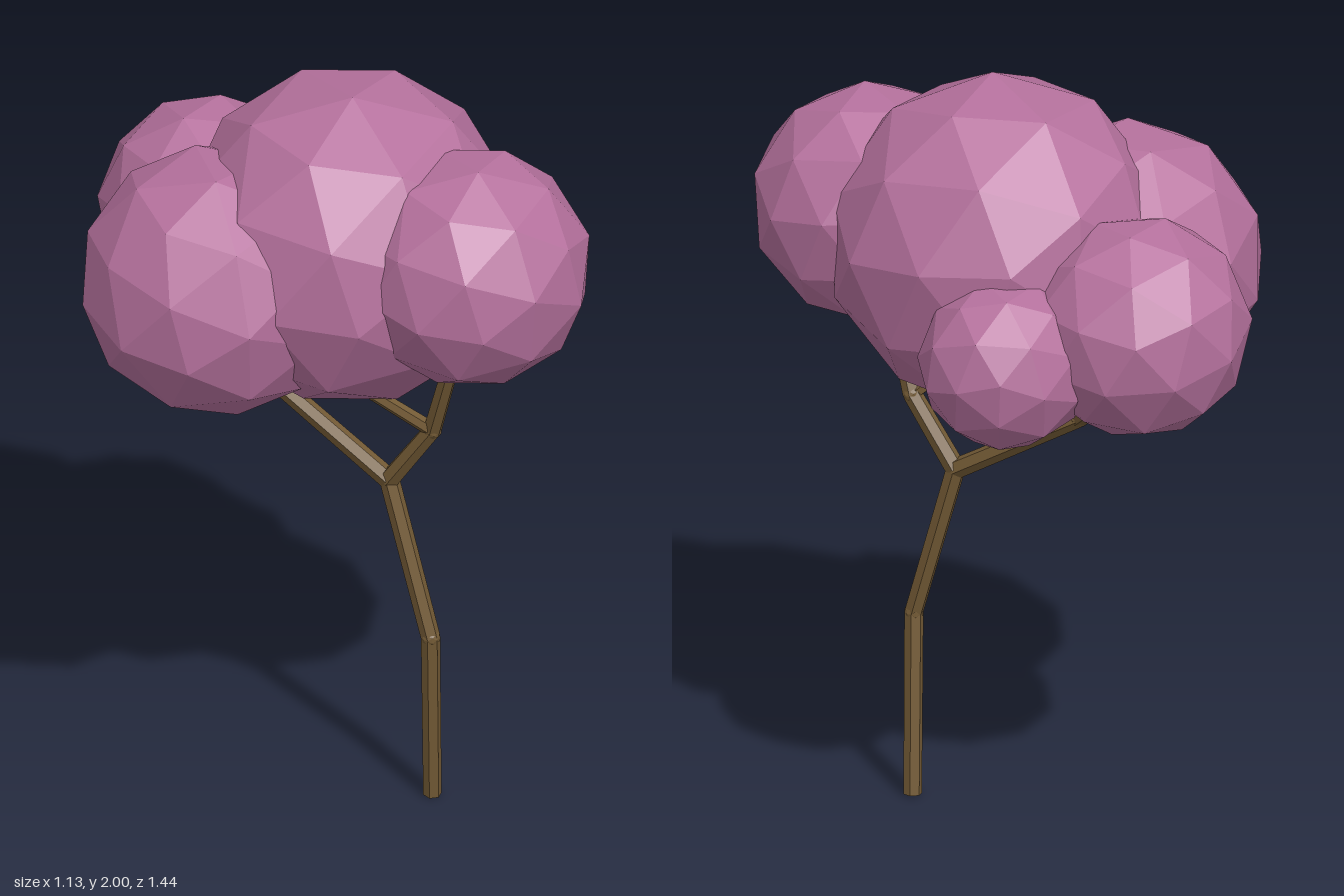
import * as THREE from 'three';

const wood = new THREE.MeshStandardMaterial({ color: 0x735a35, flatShading: true });
const leaf = new THREE.MeshStandardMaterial({ color: 0xb5719d, flatShading: true });

// Tapered six-sided limb through a list of points, with a small knuckle at each bend
function limb(name, points, r0, r1) {
  const group = new THREE.Group();
  group.name = name;
  const pts = points.map((p) => new THREE.Vector3(...p));
  const radius = (i) => r0 + ((r1 - r0) * i) / (pts.length - 1);
  for (let i = 0; i < pts.length - 1; i++) {
    const dir = pts[i + 1].clone().sub(pts[i]);
    const segment = new THREE.Mesh(
      new THREE.CylinderGeometry(radius(i + 1), radius(i), dir.length(), 6), wood);
    segment.name = name + 'Segment';
    segment.position.copy(pts[i]).addScaledVector(dir, 0.5);
    segment.quaternion.setFromUnitVectors(new THREE.Vector3(0, 1, 0), dir.normalize());
    group.add(segment);
    if (i > 0) {
      const knuckle = new THREE.Mesh(new THREE.IcosahedronGeometry(radius(i), 1), wood);
      knuckle.name = name + 'Bend';
      knuckle.position.copy(pts[i]);
      group.add(knuckle);
    }
  }
  return group;
}

// Faceted ball of foliage
function clump(name, center, r, turn) {
  const mesh = new THREE.Mesh(new THREE.IcosahedronGeometry(r, 1), leaf);
  mesh.name = name;
  mesh.position.set(...center);
  mesh.rotation.set(...turn);
  return mesh;
}

export function createModel() {
  const tree = new THREE.Group();
  tree.name = 'tree';

  const fork = [0.115, 0.9, 0.175];
  const frontFork = [0.15, 1.08, 0.3];
  const backFork = [0, 1.11, -0.16];

  // Trunk and branches
  tree.add(
    limb('trunk', [[0.19, 0, 0.255], [0.15, 0.48, 0.293], fork], 0.024, 0.026),
    limb('frontBranch', [fork, frontFork, [0.135, 1.31, 0.39], [0.16, 1.45, 0.41]], 0.027, 0.02),
    limb('middleBranch', [frontFork, [0.03, 1.19, 0.21], [0.02, 1.3, 0.14]], 0.02, 0.016),
    limb('backBranch', [fork, backFork, [0.03, 1.23, -0.32], [0.05, 1.4, -0.42]], 0.027, 0.02),
    limb('sideBranch', [backFork, [-0.13, 1.21, -0.17], [-0.2, 1.35, -0.14]], 0.02, 0.016)
  );

  // Crown
  tree.add(
    clump('mainFoliage', [0.09, 1.565, 0.05], 0.438, [0.1, 0.35, 0.1]),
    clump('frontFoliage', [0.18, 1.585, 0.415], 0.312, [0.15, 0.4, 0.1]),
    clump('sideFoliage', [-0.22, 1.48, -0.11], 0.352, [0.2, 0.1, 0.2]),
    clump('backFoliage', [0.055, 1.465, -0.44], 0.29, [-0.1, 0.2, 0.3]),
    clump('smallFoliage', [0.35, 1.395, -0.26], 0.226, [0.3, 0.2, -0.1])
  );
  return tree;
}
